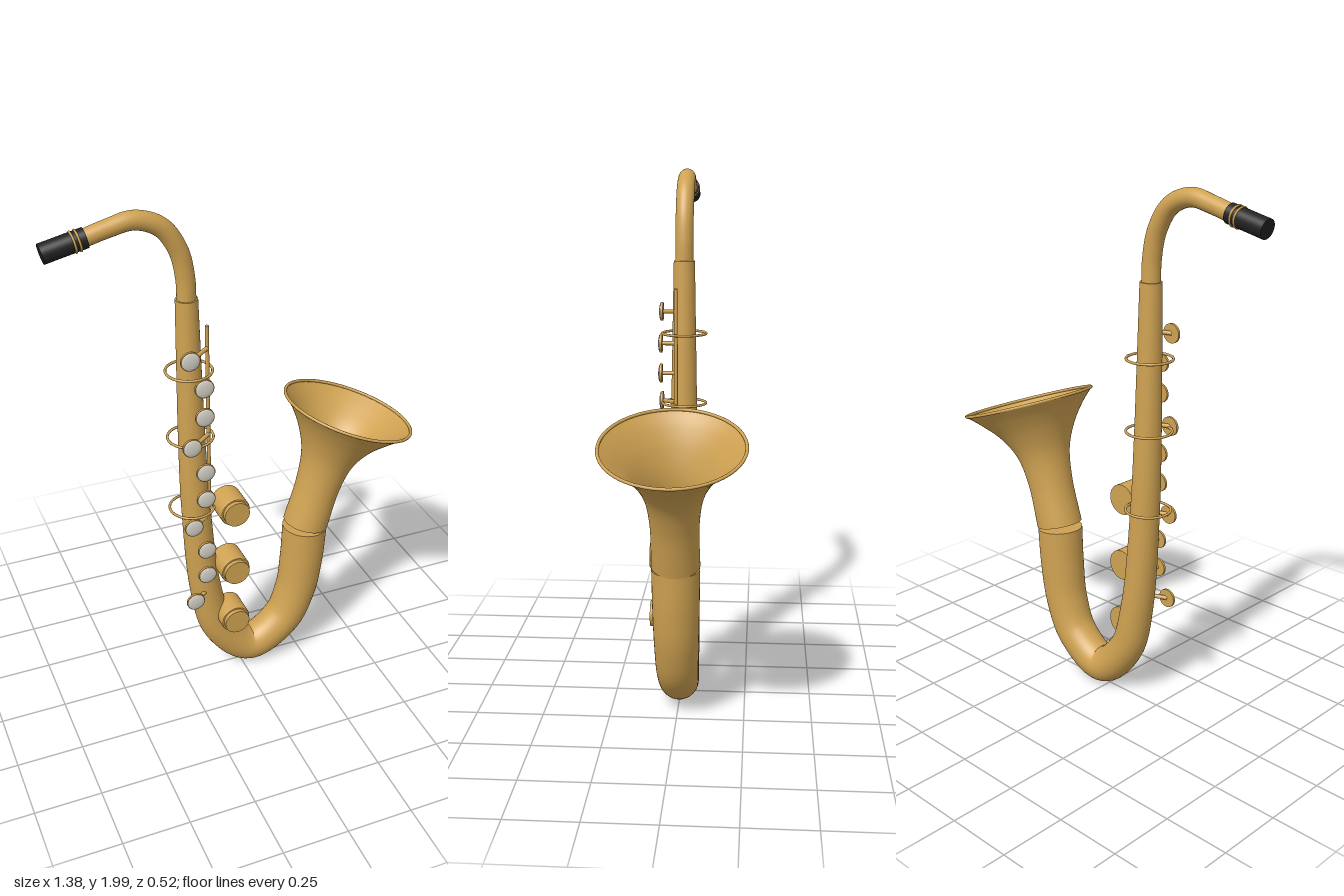
import * as THREE from 'three';

const brass = new THREE.MeshStandardMaterial({ color: 0xcfa252 });
brass.name = 'brass';
brass.side = THREE.DoubleSide;
const ebonite = new THREE.MeshStandardMaterial({ color: 0x222222 });
ebonite.name = 'black ebonite';
const pearl = new THREE.MeshStandardMaterial({ color: 0xd6d2c8 });
pearl.name = 'pearl';

const V = (x, y, z = 0) => new THREE.Vector3(x, y, z);

// Round sections lofted between two edge points given by edges(t); optional flat ends
function loft(edges, steps, capped, sides = 40) {
  const rings = [];
  for (let i = 0; i <= steps; i++) rings.push([i / steps, 1]);
  if (capped) {
    rings.unshift([0, 0], [0, 1]);
    rings.push([1, 1], [1, 0]);
  }
  const pos = [], index = [];
  rings.forEach(([t, scale], i) => {
    const [a, b] = edges(t);
    const c = a.clone().add(b).multiplyScalar(0.5);
    const r = a.distanceTo(b) / 2 * scale;
    const n = a.clone().sub(c).multiplyScalar(scale);
    for (let j = 0; j < sides; j++) {
      const th = j / sides * Math.PI * 2;
      pos.push(c.x + n.x * Math.cos(th), c.y + n.y * Math.cos(th), r * Math.sin(th));
      if (i < rings.length - 1) {
        const k = (j + 1) % sides, p = i * sides, q = p + sides;
        index.push(p + j, p + k, q + j, p + k, q + k, q + j);
      }
    }
  });
  const g = new THREE.BufferGeometry();
  g.setAttribute('position', new THREE.Float32BufferAttribute(pos, 3));
  g.setIndex(index);
  g.computeVertexNormals();
  return g;
}

// Edge function for a tapered pipe whose points are (x, y, radius)
function pipe(points) {
  const curve = new THREE.CatmullRomCurve3(points.map(p => V(...p)));
  return t => {
    const p = curve.getPoint(t), d = curve.getTangent(t);
    const n = V(-d.y, d.x).normalize().multiplyScalar(p.z);
    const c = V(p.x, p.y);
    return [c.clone().add(n), c.clone().sub(n)];
  };
}

// Cylinder between two points
function rod(a, b, r, sides = 12) {
  const d = b.clone().sub(a);
  const g = new THREE.CylinderGeometry(r, r, d.length(), sides);
  g.applyQuaternion(new THREE.Quaternion().setFromUnitVectors(V(0, 1), d.normalize()));
  const m = a.clone().add(b).multiplyScalar(0.5);
  return g.translate(m.x, m.y, m.z);
}

export function createModel() {
  const model = new THREE.Group();
  model.name = 'saxophone';
  const add = (name, geometry, material = brass, parent = model) => {
    const m = new THREE.Mesh(geometry, material);
    m.name = name;
    parent.add(m);
    return m;
  };

  // Conical body and bow
  add('body', loft(pipe([
    [-0.197, 1.66, 0.04], [-0.194, 1.38, 0.045], [-0.19, 1.1, 0.05], [-0.18, 0.8, 0.055],
    [-0.145, 0.4, 0.062], [-0.09, 0.2, 0.067], [0.04, 0.078, 0.073], [0.185, 0.165, 0.078],
    [0.245, 0.3, 0.082], [0.268, 0.45, 0.086], [0.278, 0.6, 0.088],
  ]), 90, true));

  // Flared bell, drawn by its left and right outlines
  const left = new THREE.CatmullRomCurve3([V(0.195, 0.635), V(0.245, 0.8), V(0.266, 0.93),
    V(0.256, 1.03), V(0.233, 1.11), V(0.205, 1.17)]);
  const right = new THREE.CatmullRomCurve3([V(0.367, 0.592), V(0.418, 0.765), V(0.47, 0.865),
    V(0.54, 0.93), V(0.62, 0.972), V(0.69, 1.003)]);
  add('bell', loft(t => [left.getPoint(t), right.getPoint(t)], 50, false, 64));
  const rim = add('bellRim', new THREE.TorusGeometry(0.253, 0.006, 10, 64).rotateX(Math.PI / 2));
  rim.position.set(0.447, 1.086, 0);
  rim.rotation.z = -0.332;

  // Curved neck
  add('neck', loft(pipe([
    [-0.197, 1.65, 0.034], [-0.2, 1.74, 0.034], [-0.222, 1.84, 0.034], [-0.28, 1.928, 0.034],
    [-0.37, 1.965, 0.033], [-0.46, 1.95, 0.031], [-0.56, 1.923, 0.03],
  ]), 50, true, 32));

  // Mouthpiece with two ligature rings
  const tip = V(-0.685, 1.896), heel = V(-0.535, 1.93);
  add('mouthpiece', rod(tip, heel, 0.035, 32), ebonite);
  for (const t of [0.72, 0.83]) {
    const p = tip.clone().lerp(heel, t);
    const ring = add('ligatureRing', new THREE.TorusGeometry(0.035, 0.004, 8, 32).rotateY(Math.PI / 2));
    ring.position.copy(p);
    ring.rotation.z = Math.atan2(heel.y - tip.y, heel.x - tip.x);
  }

  // Guard rings around the body
  for (const y of [1.385, 1.115, 0.81]) {
    const ring = add('guardRing', new THREE.TorusGeometry(0.084, 0.005, 8, 48).rotateX(Math.PI / 2));
    ring.position.set(-0.195, y, 0);
  }

  // Long key rod
  add('keyRod', rod(V(-0.135, 0.8, 0.028), V(-0.135, 1.56, 0.028), 0.007));

  // Finger keys; every third one is offset and hangs from the key rod
  for (let i = 0; i < 10; i++) {
    const y = 1.465 - i * 0.1155, offset = i % 3 === 0;
    const x = offset ? -0.22 : -0.17;
    const key = new THREE.Group();
    key.name = 'fingerKey';
    model.add(key);
    const root = offset ? V(-0.135, y + 0.01, 0.03) : V(x, y, 0.02);
    add('keyStem', rod(root, V(x, y, 0.086), 0.008), brass, key);
    add('keyCup', rod(V(x, y, 0.082), V(x, y, 0.091), 0.036, 28), brass, key);
    const dome = new THREE.SphereGeometry(0.034, 28, 10, 0, Math.PI * 2, 0, Math.PI / 2)
      .rotateX(Math.PI / 2).scale(1, 1, 0.22);
    add('keyPearl', dome, pearl, key).position.set(x, y, 0.0905);
  }

  // Large tone hole cups with raised lids
  for (const y of [0.81, 0.54, 0.3]) {
    const profile = [[0, 0], [0.059, 0], [0.059, 0], [0.059, 0.098], [0.056, 0.105], [0.056, 0.105], [0, 0.105]];
    const cup = new THREE.LatheGeometry(profile.map(p => new THREE.Vector2(...p)), 36).rotateX(Math.PI / 2);
    add('toneCup', cup).position.set(-0.06, y, 0);
    add('toneCupLid', rod(V(-0.06, y, 0.1), V(-0.06, y, 0.122), 0.05, 36));
  }

  return model;
}
